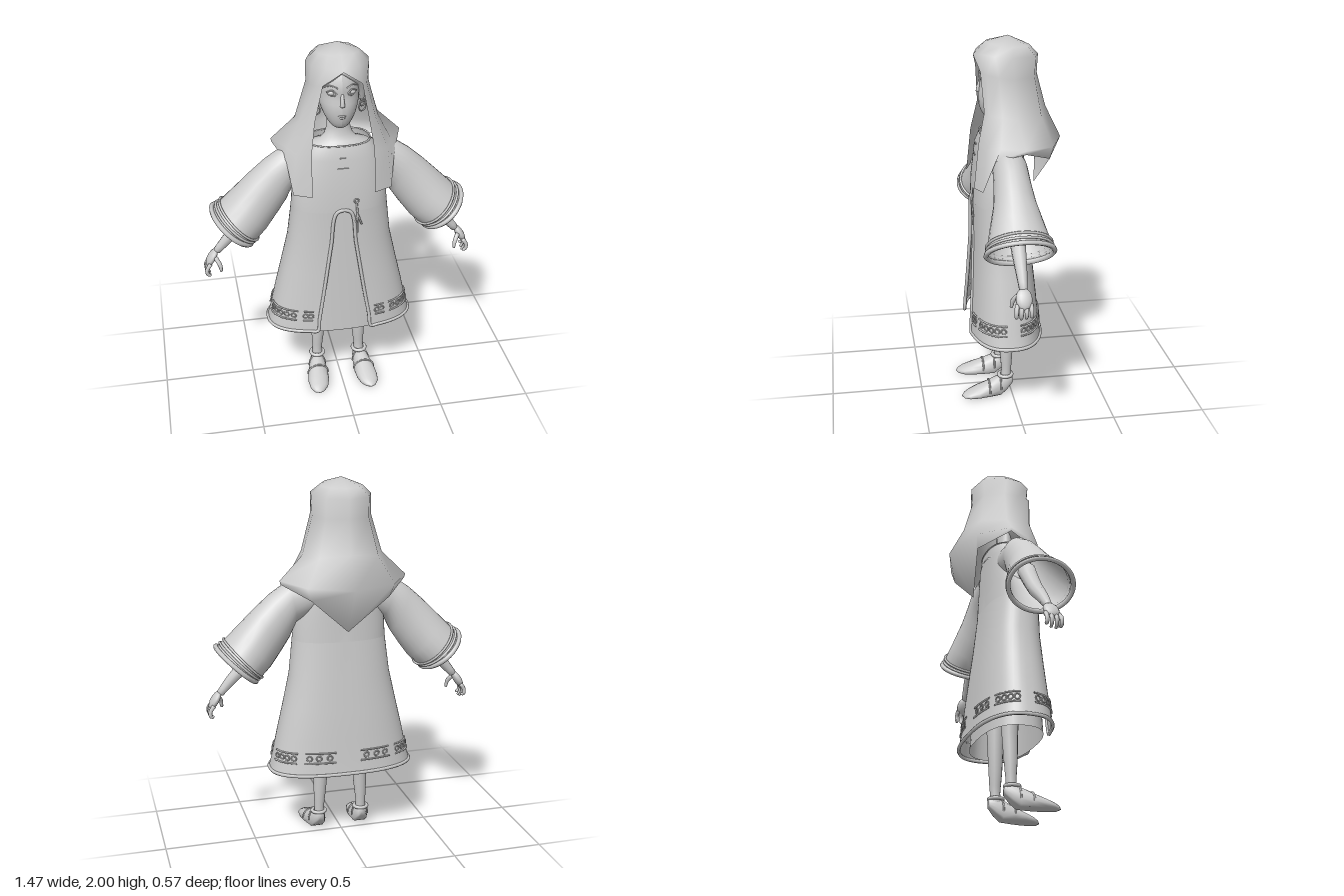
import * as THREE from 'three';
import { mergeVertices } from 'three/addons/utils/BufferGeometryUtils.js';

const V = (x, y, z) => new THREE.Vector3(x, y, z);
const grey = new THREE.MeshStandardMaterial({ color: 0xcccccc, side: THREE.DoubleSide });
grey.name = 'plain grey';

function add(parent, name, geo) {
  const m = new THREE.Mesh(geo, grey);
  m.name = name;
  parent.add(m);
  return m;
}

// Skin a surface across rows of points
function loft(rows, closed = true) {
  const n = rows[0].length, idx = [];
  for (let r = 0; r < rows.length - 1; r++) {
    for (let i = 0; i < (closed ? n : n - 1); i++) {
      const j = (i + 1) % n, a = r * n + i, b = r * n + j, c = a + n, d = b + n;
      idx.push(a, c, b, b, c, d);
    }
  }
  const g = new THREE.BufferGeometry().setFromPoints(rows.flat());
  g.setIndex(idx);
  const merged = mergeVertices(g, 1e-5);
  merged.computeVertexNormals();
  return merged;
}

function ring(n, f) {
  return Array.from({ length: n }, (_, i) => f(i / n * Math.PI * 2));
}

// Tapered tube through [x, y, z, radius] points, closed at both ends
function limb(pts, sides = 10) {
  const p = pts.map(q => V(q[0], q[1], q[2]));
  const curve = new THREE.CatmullRomCurve3(p);
  const steps = (pts.length - 1) * 3, rows = [];
  for (let s = 0; s <= steps; s++) {
    const t = s / steps, c = curve.getPoint(t), d = curve.getTangent(t);
    const k = Math.min(pts.length - 2, Math.floor(s / 3)), f = s / 3 - k;
    const r = THREE.MathUtils.lerp(pts[k][3], pts[k + 1][3], f);
    const u = d.clone().cross(V(0, 0, 1)).normalize(), v = u.clone().cross(d);
    const make = rr => ring(sides, a => c.clone().addScaledVector(u, -Math.cos(a) * rr).addScaledVector(v, Math.sin(a) * rr));
    if (s === 0) rows.push(make(0));
    rows.push(make(r));
    if (s === steps) rows.push(ring(sides, () => c.clone().addScaledVector(d, r * 0.6)));
  }
  return loft(rows);
}

function cord(points, r, closed = false, seg = points.length * 3) {
  return new THREE.TubeGeometry(new THREE.CatmullRomCurve3(points, closed), seg, r, 6, closed);
}

// Robe profile: height, half width, front z, back z, slit half width
const ROBE = [
  [1.49, 0.165, 0.15, -0.07, 0], [1.42, 0.215, 0.175, -0.075, 0], [1.24, 0.25, 0.195, -0.08, 0],
  [1.13, 0.257, 0.2, -0.085, 0], [1.13, 0.257, 0.2, -0.085, 0.035], [0.93, 0.28, 0.2, -0.105, 0.068],
  [0.75, 0.32, 0.21, -0.125, 0.095], [0.6, 0.355, 0.22, -0.14, 0.118], [0.48, 0.38, 0.23, -0.15, 0.138],
  [0.4, 0.4, 0.235, -0.16, 0.15],
];
const E = 0.8;
const pw = v => Math.sign(v) * Math.abs(v) ** E;
function robePoint([y, rx, zf, zb], a, grow = 0) {
  return V((rx + grow) * pw(Math.sin(a)), y, (zf + zb) / 2 + ((zf - zb) / 2 + grow) * pw(Math.cos(a)));
}
const slitAngle = r => Math.asin((r[4] / r[1]) ** (1 / E));

function robe(group) {
  const n = 56;
  const arc = r => Array.from({ length: n + 1 }, (_, i) => {
    const s = slitAngle(r);
    return robePoint(r, s + (Math.PI * 2 - 2 * s) * i / n);
  });
  add(group, 'robe', loft(ROBE.map(arc), false));
  // Underskirt seen through the slit
  const under = [[1.2, 0.235, 0.185, -0.07], [0.8, 0.26, 0.19, -0.09], [0.375, 0.3, 0.205, -0.115]];
  add(group, 'underskirt', loft(under.map(r => ring(40, a => robePoint(r, a)))));
  // Trim runs down one slit edge, round the hem and up the other
  const slit = ROBE.slice(4);
  const right = slit.map(r => robePoint(r, slitAngle(r)));
  const left = right.map(p => V(-p.x, p.y, p.z)).reverse();
  add(group, 'slitAndHemTrim', cord([...right, ...arc(ROBE[9]).slice(1, -1), ...left], 0.01, true, 260));
  const neckRim = ring(24, a => robePoint(ROBE[0], a));
  add(group, 'necklineTrim', cord(neckRim, 0.005, true));

  // Hem border: two cords with rings between them, in separate panels
  const at = y => {
    const t = (0.6 - y) / 0.12, lo = ROBE[7], hi = ROBE[8];
    return t < 1 ? [0, 1, 2, 3].map(k => THREE.MathUtils.lerp(lo[k], hi[k], t))
      : [0, 1, 2, 3].map(k => THREE.MathUtils.lerp(hi[k], ROBE[9][k], (0.48 - y) / 0.08));
  };
  for (const side of [1, -1]) {
    for (const [a, b] of [[0.38, 0.55], [0.66, 1.5], [1.75, 2.4], [2.55, 3.02]]) {
      for (const y of [0.47, 0.525]) {
        const pts = Array.from({ length: 9 }, (_, i) => robePoint(at(y), side * (a + (b - a) * i / 8), 0.004));
        add(group, 'borderCord', cord(pts, 0.005));
      }
      const count = Math.max(2, Math.round((b - a) / 0.17));
      for (let i = 0; i < count; i++) {
        const ang = side * (a + (b - a) * (i + 0.5) / count);
        const p = robePoint(at(0.497), ang, 0.003), q = robePoint(at(0.497), ang + 0.02, 0.003);
        const m = add(group, 'borderRing', new THREE.TorusGeometry(0.014, 0.004, 5, 12));
        m.position.copy(p);
        m.rotation.y = Math.atan2(-(q.z - p.z), q.x - p.x);
      }
    }
  }
  // Chest stitching and hanging tassel
  for (const [y, w, z] of [[1.43, 0.03, 0.173], [1.375, 0.06, 0.18]]) {
    add(group, 'chestStitch', new THREE.BoxGeometry(w, 0.006, 0.009)).position.set(0, y, z);
  }
  const t = add(group, 'tasselKnot', new THREE.TorusGeometry(0.012, 0.004, 6, 12));
  t.position.set(0.068, 1.19, 0.2);
  for (const [x, y] of [[0.075, 1.0], [0.095, 1.05], [0.06, 1.06], [0.085, 1.08]]) {
    add(group, 'tasselStrand', cord([V(0.068, 1.18, 0.2), V(0.072, 1.12, 0.205), V(x, y, 0.203)], 0.005));
  }
}

// Sleeve, cuff rings, arm and hand for the +x side
function arm(group) {
  // top x, top y, lower x, lower y, half depth
  const S = [[0.17, 1.46, 0.15, 1.28, 0.085], [0.29, 1.455, 0.245, 1.235, 0.09], [0.385, 1.39, 0.285, 1.15, 0.098],
    [0.47, 1.315, 0.335, 1.075, 0.112], [0.56, 1.225, 0.39, 1.0, 0.14], [0.63, 1.155, 0.44, 0.95, 0.16], [0.675, 1.115, 0.475, 0.93, 0.166]];
  const sec = (s, grow = 1) => ring(24, a => {
    const c = 0.5 + 0.5 * grow * Math.cos(a);
    return V(s[2] + (s[0] - s[2]) * c, s[3] + (s[1] - s[3]) * c, 0.03 + s[4] * grow * Math.sin(a));
  });
  add(group, 'sleeve', loft(S.map(s => sec(s))));
  [[1, 0.013], [0.5, 0.007], [0.05, 0.007]].forEach(([t, r]) => {
    const s = S[5].map((v, k) => v + (S[6][k] - v) * t);
    add(group, 'cuffRing', cord(sec(s, 1.03), r, true));
  });
  add(group, 'forearm', limb([[0.38, 1.2, 0.03, 0.05], [0.5, 1.04, 0.03, 0.04], [0.6, 0.94, 0.03, 0.03], [0.665, 0.865, 0.03, 0.021]]));
  const palm = add(group, 'palm', new THREE.SphereGeometry(1, 14, 10));
  palm.scale.set(0.022, 0.055, 0.042);
  palm.position.set(0.695, 0.828, 0.032);
  palm.rotation.z = 0.55;
  for (let i = 0; i < 4; i++) {
    const z = 0.067 - i * 0.023, drop = [0.01, 0, 0.003, 0.02][i];
    add(group, 'finger', limb([[0.705, 0.805, z, 0.012], [0.726, 0.772, z * 1.1, 0.011], [0.722, 0.745, z * 1.1, 0.01], [0.708, 0.727 + drop, z * 1.1, 0.007]], 8));
  }
  add(group, 'thumb', limb([[0.677, 0.84, 0.06, 0.013], [0.656, 0.805, 0.082, 0.012], [0.65, 0.768, 0.088, 0.008]], 8));
}

// Leg and pointed shoe for the +x side
function leg(group) {
  add(group, 'leg', limb([[0.11, 0.6, 0.03, 0.055], [0.113, 0.38, 0.028, 0.042], [0.118, 0.25, 0.03, 0.036], [0.122, 0.14, 0.03, 0.027], [0.122, 0.07, 0.035, 0.03]], 14));
  const strap = add(group, 'ankleStrap', new THREE.TorusGeometry(0.037, 0.01, 8, 18));
  strap.rotation.x = Math.PI / 2;
  strap.position.set(0.124, 0.11, 0.035);
  // z, half width, sole y, upper y
  const F = [[-0.008, 0, 0.085, 0.095], [-0.005, 0.022, 0.06, 0.11], [0.03, 0.038, 0.025, 0.118], [0.065, 0.046, 0, 0.112],
    [0.13, 0.058, 0, 0.082], [0.19, 0.06, 0, 0.058], [0.24, 0.05, 0, 0.038], [0.27, 0.028, 0, 0.024], [0.285, 0, 0.006, 0.01]];
  const sec = ([z, w, lo, hi], g = 1) => ring(16, a => V(0.122 + z * 0.1 + w * g * Math.cos(a),
    Math.max(lo, lo + (hi - lo) * (0.35 + 0.65 * g * Math.sin(a))), z));
  add(group, 'shoe', loft(F.map(f => sec(f))));
  for (const k of [3, 4]) add(group, 'shoeStrap', cord(sec(F[k], 1.02).slice(0, 9), 0.005));
}

function head(group) {
  const prof = [[0, 1.575], [0.03, 1.578], [0.058, 1.605], [0.085, 1.655], [0.102, 1.71], [0.108, 1.77], [0.108, 1.82], [0.088, 1.88], [0.05, 1.91], [0, 1.92]];
  const curve = new THREE.SplineCurve(prof.map(p => new THREE.Vector2(...p)));
  const g = new THREE.LatheGeometry(curve.getPoints(24).map(p => p.set(Math.max(0, p.x), p.y)), 28);
  const pos = g.attributes.position;
  for (let i = 0; i < pos.count; i++) {
    pos.setZ(i, pos.getZ(i) * 1.12 + 0.03 + Math.max(0, 1.75 - pos.getY(i)) * 0.32);
  }
  g.computeVertexNormals();
  add(group, 'head', g);
  const neck = [[0.06, 1.66], [0.062, 1.56], [0.075, 1.52], [0.1, 1.49], [0.17, 1.465], [0.2, 1.42]];
  const nk = add(group, 'neckAndShoulders', new THREE.LatheGeometry(neck.map(p => new THREE.Vector2(...p)), 24));
  nk.scale.z = 0.62;
  nk.position.z = 0.04;
  const ball = (name, x, y, z, sx, sy, sz) => {
    const m = add(group, name, new THREE.SphereGeometry(1, 14, 10));
    m.position.set(x, y, z);
    m.scale.set(sx, sy, sz);
  };
  add(group, 'nose', limb([[0, 1.775, 0.144, 0.008], [0, 1.735, 0.156, 0.01], [0, 1.712, 0.157, 0.013]]));
  ball('upperLip', 0, 1.66, 0.15, 0.024, 0.007, 0.009);
  ball('lowerLip', 0, 1.648, 0.148, 0.019, 0.007, 0.009);
  for (const s of [1, -1]) {
    ball('eye', s * 0.05, 1.78, 0.131, 0.021, 0.013, 0.012);
    const lid = d => [V(s * 0.026, 1.776, 0.146), V(s * 0.05, 1.78 + d, 0.142), V(s * 0.076, 1.782, 0.122)];
    add(group, 'upperLid', cord(lid(0.017), 0.004));
    add(group, 'lowerLid', cord(lid(-0.015), 0.003));
    add(group, 'eyebrow', cord([V(s * 0.022, 1.808, 0.149), V(s * 0.055, 1.82, 0.136), V(s * 0.085, 1.808, 0.11)], 0.004));
    ball('ear', s * 0.112, 1.735, 0.045, 0.014, 0.035, 0.024);
    for (const [r, y] of [[0.018, 1.685], [0.026, 1.665]]) {
      const e = add(group, 'earring', new THREE.TorusGeometry(r, 0.004, 6, 16));
      e.position.set(s * 0.122, y, 0.06);
      e.rotation.y = s * 0.6;
    }
    add(group, 'hairLock', limb([[s * 0.004, 1.89, 0.13, 0.014], [s * 0.05, 1.86, 0.128, 0.017], [s * 0.098, 1.81, 0.095, 0.016], [s * 0.12, 1.72, 0.06, 0.012], [s * 0.12, 1.68, 0.045, 0.006]]));
  }
}

// Head cloth: half rows run from the front edge to the middle of the back
function hood(group) {
  const H = [
    [[0, 2, 0], [0, 2, 0], [0, 2, 0], [0, 2, 0], [0, 2, 0], [0, 2, 0]],
    [[0, 1.972, 0.12], [0.065, 1.968, 0.1], [0.1, 1.96, 0.05], [0.112, 1.955, -0.01], [0.08, 1.952, -0.09], [0, 1.95, -0.11]],
    [[0, 1.905, 0.182], [0.085, 1.92, 0.155], [0.145, 1.915, 0.09], [0.162, 1.91, 0], [0.115, 1.905, -0.125], [0, 1.9, -0.158]],
    [[0.1, 1.83, 0.158], [0.128, 1.82, 0.13], [0.15, 1.81, 0.07], [0.16, 1.8, -0.01], [0.115, 1.8, -0.12], [0, 1.8, -0.152]],
    [[0.14, 1.63, 0.145], [0.18, 1.62, 0.125], [0.205, 1.61, 0.06], [0.218, 1.6, -0.02], [0.16, 1.6, -0.15], [0, 1.62, -0.2]],
    [[0.163, 1.47, 0.18], [0.24, 1.46, 0.15], [0.275, 1.47, 0.08], [0.345, 1.475, -0.04], [0.235, 1.46, -0.2], [0, 1.45, -0.283]],
    [[0.165, 1.235, 0.205], [0.26, 1.24, 0.17], [0.285, 1.41, 0.11], [0.34, 1.455, -0.04], [0.21, 1.39, -0.185], [0, 1.2, -0.14]],
  ];
  const rows = H.map(r => {
    const half = r.map(p => V(...p));
    return [...half, ...half.slice(0, -1).reverse().map(p => V(-p.x, p.y, p.z))];
  });
  add(group, 'headCloth', loft(rows, false));
}

export function createModel() {
  const model = new THREE.Group();
  model.name = 'robedFigure';
  const part = (name, build, sx = 1) => {
    const g = new THREE.Group();
    g.name = name;
    g.scale.x = sx;
    build(g);
    model.add(g);
  };
  part('robeGroup', robe);
  part('headGroup', head);
  part('hood', hood);
  for (const [side, sx] of [['left', 1], ['right', -1]]) {
    part(side + 'Arm', arm, sx);
    part(side + 'Leg', leg, sx);
  }
  return model;
}
